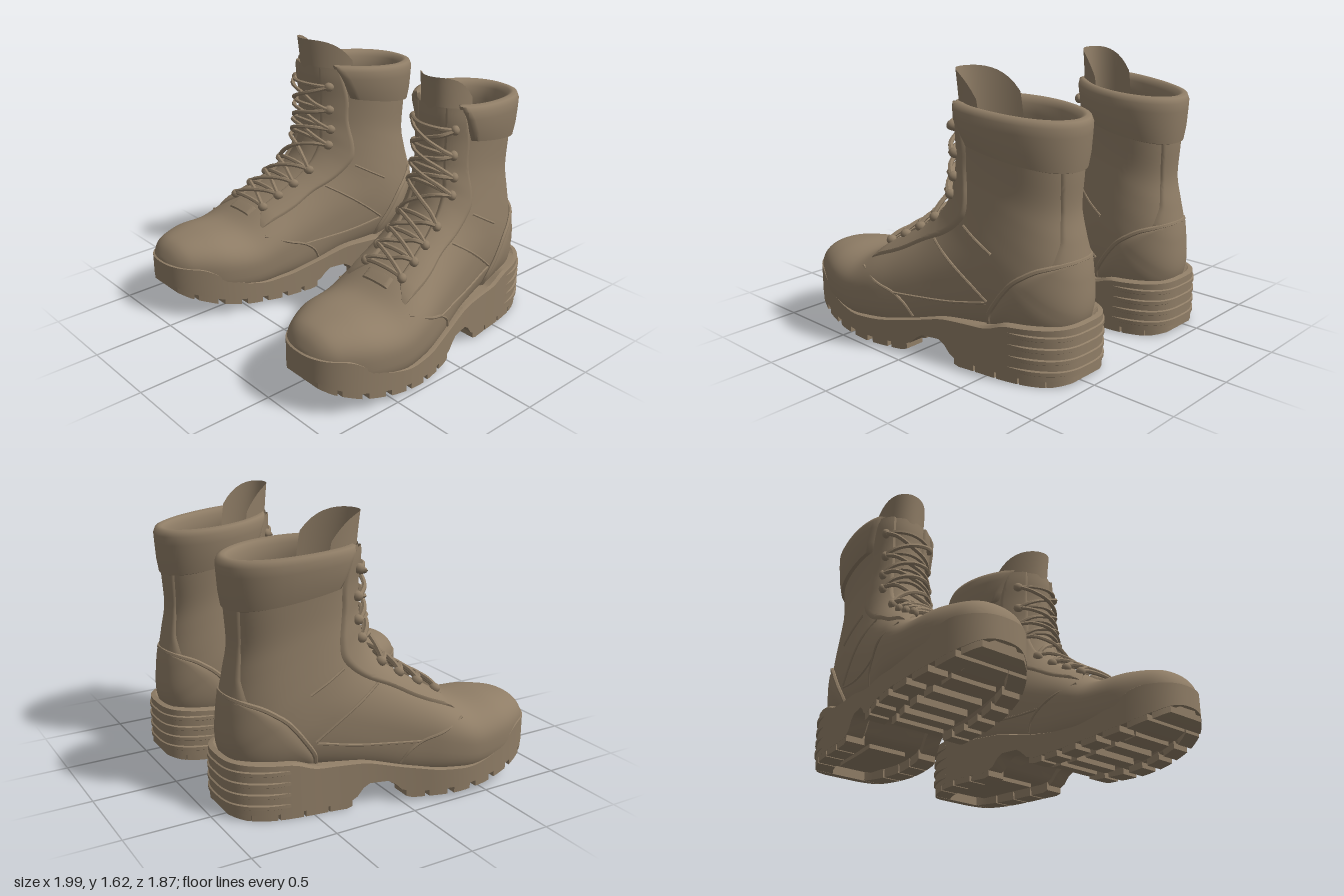
import * as THREE from 'three';
import { toCreasedNormals } from 'three/addons/utils/BufferGeometryUtils.js';

const V = (x, y, z) => new THREE.Vector3(x, y, z);
const clamp = THREE.MathUtils.clamp, lerp = THREE.MathUtils.lerp;

// Piecewise linear lookup
function look(tab, k) {
  if (k <= tab[0][0]) return tab[0][1];
  for (let i = 1; i < tab.length; i++) {
    const [a, p] = tab[i - 1], [b, q] = tab[i];
    if (k <= b) return lerp(p, q, (k - a) / (b - a));
  }
  return tab[tab.length - 1][1];
}
// Lookup averaged over a small window, for soft bends
const soft = (tab, k, r) => [-1, -0.5, 0, 0.5, 1].reduce((s, d) => s + look(tab, k + d * r), 0) / 5;

// Surface from a rule p(u, v), with u and v from 0 to 1
function grid(p, nu, nv) {
  const pos = [], idx = [];
  for (let j = 0; j <= nv; j++) for (let i = 0; i <= nu; i++) pos.push(...p(i / nu, j / nv).toArray());
  for (let j = 0; j < nv; j++) for (let i = 0; i < nu; i++) {
    const a = j * (nu + 1) + i, b = a + 1, c = a + nu + 1, d = c + 1;
    idx.push(a, b, d, a, d, c);
  }
  const g = new THREE.BufferGeometry();
  g.setAttribute('position', new THREE.Float32BufferAttribute(pos, 3));
  g.setIndex(idx);
  return g;
}

// Foot plan: centre line, extra inward turn of the right boot, half width, sole top and bottom along z
const CX = [[-0.93, 0.465], [-0.5, 0.485], [-0.2, 0.55], [0, 0.595], [0.3, 0.645], [0.6, 0.66], [0.93, 0.68]];
const TURN = [[-0.5, -0.042], [0, -0.036], [0.35, -0.005], [0.6, 0], [0.93, 0.01]];
const HALF = [[-0.65, 0.352], [-0.25, 0.303], [0, 0.31], [0.3, 0.36], [0.6, 0.37]];
const TOP = [[-0.95, 0.33], [-0.6, 0.315], [-0.5, 0.27], [-0.2, 0.26], [0, 0.21], [0.2, 0.175], [0.4, 0.165],
  [0.55, 0.2], [0.68, 0.27], [0.76, 0.33], [0.95, 0.35]];
const BOT = [[-0.95, 0.02], [-0.85, 0], [-0.3, 0], [-0.25, 0.03], [-0.2, 0.1], [-0.06, 0.1], [0, 0.04],
  [0.06, 0.02], [0.3, 0.025], [0.5, 0.045], [0.7, 0.085], [0.85, 0.14], [0.95, 0.2]];
const L = 0.93;
function soleHalf(z) {
  const n = z > 0 ? 2.5 : 3;
  return soft(HALF, z, 0.12) * Math.max(0, 1 - Math.abs(z / L) ** n) ** (1 / n);
}

// Upper sections: front z, front y, back z, back y, half width
const ROWS = [
  [0.922, 0.33, 0.922, 0.31, 0.01], [0.912, 0.37, 0.912, 0.24, 0.09], [0.87, 0.435, 0.87, 0.2, 0.165],
  [0.8, 0.472, 0.8, 0.16, 0.225], [0.65, 0.492, 0.65, 0.11, 0.302], [0.45, 0.495, 0.45, 0.09, 0.345],
  [0.3, 0.575, 0.25, 0.09, 0.342], [0.15, 0.665, 0.05, 0.1, 0.315], [0.03, 0.75, -0.2, 0.15, 0.292],
  [-0.05, 0.84, -0.5, 0.18, 0.283], [-0.09, 0.92, -0.78, 0.22, 0.28], [-0.115, 1.0, -0.885, 0.34, 0.272],
  [-0.12, 1.06, -0.885, 0.55, 0.256], [-0.13, 1.12, -0.85, 0.75, 0.242], [-0.13, 1.18, -0.82, 0.92, 0.235],
  [-0.13, 1.27, -0.83, 1.12, 0.24], [-0.12, 1.38, -0.835, 1.3, 0.25], [-0.12, 1.45, -0.84, 1.39, 0.25]];

function section(t) {
  const s = clamp(t + 1, 0, ROWS.length - 1), i = Math.min(Math.floor(s), ROWS.length - 2), f = s - i;
  const r = k => ROWS[clamp(k, 0, ROWS.length - 1)];
  return ROWS[0].map((_, c) => {
    const a = r(i - 1)[c], b = r(i)[c], d = r(i + 1)[c], e = r(i + 2)[c];
    return b + 0.5 * f * (d - a + f * (2 * a - 5 * b + 4 * d - e + f * (3 * (b - d) + e - a)));
  });
}
// Point on the upper; phi = 0 at the front, PI at the back
function skin(t, phi) {
  const [fz, fy, bz, by, w] = section(t), c = Math.cos(phi), s = Math.sin(phi);
  const n = c > 0 ? look([[0, 2.2], [3, 2.4], [8, 2]], t) : look([[6, 3.5], [10, 2.1]], t);
  const k = Math.sign(c) * Math.abs(c) ** (2 / n);
  return V(w * Math.sign(s) * Math.abs(s) ** (2 / n), (fy + by) / 2 + k * (fy - by) / 2, (fz + bz) / 2 + k * (fz - bz) / 2);
}
// Same point pushed outward
function surf(t, phi, off = 0) {
  const p = skin(t, phi), e = 0.03;
  const dt = skin(Math.min(t + e, 16), phi).sub(skin(t - e, phi));
  const dp = skin(t, phi + e).sub(skin(t, phi - e));
  return p.addScaledVector(dp.cross(dt).normalize(), off);
}
// Raised panel lying on the upper between two phi limits
const panel = (t0, t1, a, b, h, nu = 20, nv = 60, openTop = false) => grid((u, v) => {
  const t = lerp(t0, t1, v), e = Math.min(u * 10, (1 - u) * 10, v * 20, openTop ? 1 : (1 - v) * 20, 1);
  return surf(t, lerp(a(t), b(t), u), h * Math.sqrt(e) - 0.004);
}, nu, nv);

const tube = (pts, r, n = 24) => new THREE.TubeGeometry(new THREE.CatmullRomCurve3(pts), n, r, 6);

// Finds (t, phi) of the place on the upper seen at a side position
const samples = [];
for (let t = 0; t <= 16; t += 0.1) for (let p = 0.1; p < 3.1; p += 0.06) samples.push([t, p]);
function locate([z, y]) {
  const miss = ([t, p]) => { const q = skin(t, p); return (q.z - z) ** 2 + (q.y - y) ** 2; };
  const nearest = list => list.reduce((a, b) => (miss(b) < miss(a) ? b : a));
  let best = nearest(samples);
  for (let s = 0.05; s > 0.002; s *= 0.7) {
    const [t, p] = best;
    best = nearest([best, [t + s, p], [t - s, p], [t, p + s], [t, Math.max(0.05, p - s)]]);
  }
  return V(best[0], Math.min(best[1], 3.1), 0);
}

export function createModel() {
  const leather = new THREE.MeshStandardMaterial({ color: 0x8f7d66, side: THREE.DoubleSide });
  const model = new THREE.Group();
  const leftBoot = new THREE.Group(), rightBoot = new THREE.Group();
  leftBoot.name = 'leftBoot'; rightBoot.name = 'rightBoot';
  model.add(leftBoot, rightBoot);

  // Bends a part along each boot's foot line, mirrors it for the right boot, and adds it to both
  function add(name, geo, crease = 0.7) {
    for (const boot of [leftBoot, rightBoot]) {
      const g = geo.clone(), p = g.attributes.position, mirrored = boot === rightBoot;
      for (let i = 0; i < p.count; i++) {
        const z = p.getZ(i), x = p.getX(i) + soft(CX, z, 0.12);
        p.setX(i, mirrored ? -x - soft(TURN, z, 0.12) : x);
      }
      if (mirrored) g.index.array.reverse();
      const mesh = new THREE.Mesh(toCreasedNormals(g, crease), leather);
      mesh.name = name;
      boot.add(mesh);
    }
  }

  // Upper
  add('upper', grid((u, v) => skin(lerp(-1, 16, v), u * Math.PI * 2), 64, 85), 1);

  // Sole with a flat wall and recessed underside
  const wall = [[0, 0, 0.055], [0.62, 0, 0.055], [0.66, 0, 0.035], [1, 0, 0.035], [1, 1, 0], [0.94, 1, 0.008], [0, 1, -0.03]];
  add('sole', grid((u, v) => {
    const [k, top, dy] = wall[Math.round(v * 6)], z = L * Math.cos(u * Math.PI * 2);
    const x = soleHalf(z) * (u < 0.5 ? 1 : -1);
    return V(x * k, (top ? soft(TOP, z, 0.04) : look(BOT, z)) + dy, z * (k === 0.94 ? 0.97 : 1));
  }, 160, 6), 0.6);

  // Tread lugs shaped to the outline
  function lug(z0, len, xRule, drop = 0) {
    const g = new THREE.BoxGeometry(1, 1, 1, 6, 1, 4), p = g.attributes.position;
    for (let i = 0; i < p.count; i++) {
      const z = z0 + len * p.getZ(i);
      p.setXYZ(i, xRule(p.getX(i), z), look(BOT, z) + (p.getY(i) > 0 ? 0.07 : drop), z);
    }
    add('treadLug', g, 0.5);
  }
  for (const z0 of [0.76, 0.62, 0.48, 0.34, 0.2, 0.075, -0.345, -0.485, -0.625, -0.765]) {
    const len = z0 > 0 ? 0.1 : 0.128;
    for (const s of [1, -1]) lug(z0, len, (x, z) => s * (soleHalf(z) - 0.001 - 0.12 * (0.5 - x)));
    if (z0 > 0) lug(z0, 0.075, (x, z) => x * soleHalf(z) * 0.95, 0.012);
  }
  lug(0.865, 0.07, (x, z) => 1.96 * x * soleHalf(z));
  lug(-0.875, 0.085, (x, z) => 1.96 * x * soleHalf(z));
  lug(-0.55, 0.4, (x, z) => x * soleHalf(z) * 0.8, 0.03);

  // Heel ridges, sinking into the wall at both ends
  for (const y of [0.08, 0.145, 0.21, 0.275]) {
    const pts = [];
    for (let i = 0; i <= 32; i++) {
      const a = lerp(-0.92, 0.92, i / 32), z = -L * Math.cos(a), sink = 0.99 - 0.09 * Math.abs(a / 0.92) ** 6;
      pts.push(V(Math.sign(a) * soleHalf(z) * sink, y, z * 0.99));
    }
    add('heelRidge', tube(pts, 0.02, 56));
  }

  // Heel counter with a corded rim
  const arc = new THREE.CatmullRomCurve3([[-0.45, 0.26], [-0.475, 0.34], [-0.55, 0.45], [-0.65, 0.565],
    [-0.76, 0.63], [-0.84, 0.655], [-0.884, 0.67]].map(locate));
  add('heelCounter', grid((u, v) => {
    const q = arc.getPoint(v), e = Math.min(1, u * 20, (1 - u) * 20);
    return surf(q.x, lerp(q.y, Math.PI * 2 - q.y, u), 0.018 * Math.sqrt(e) - 0.002);
  }, 40, 48), 1);
  const rim = [];
  for (let i = 0; i <= 40; i++) {
    const q = arc.getPoint(1 - Math.abs(i - 20) / 20);
    if (i !== 20) rim.push(surf(q.x, i < 20 ? q.y : -q.y, 0.006));
  }
  add('heelCounterRim', tube(rim, 0.014, 80));

  // Back strip
  const strip = t => Math.PI - look([[11.2, 0.7], [12, 0.45], [13, 0.35], [14.4, 0.42]], t);
  add('backStrip', panel(11.2, 14.4, strip, t => Math.PI * 2 - strip(t), 0.014, 20, 30));

  // Lace facings, pointed at the toe end
  const inner = t => look([[4.6, 0.64], [5.2, 0.3], [8, 0.38], [16, 0.42]], t);
  const outer = t => soft([[4.6, 0.7], [6, 0.85], [7, 0.83], [8, 0.93], [9, 0.95], [10, 1.03], [11, 1.06],
    [12, 1.0], [14, 1.0], [16, 0.82]], t, 0.4);
  for (const s of [1, -1]) add('laceFacing', panel(4.6, 16, t => s * inner(t), t => s * outer(t), 0.02, 20, 80, true));
  add('throatTab', panel(4.6, 5.05, () => -0.25, () => 0.25, 0.018, 20, 10));

  // Padded collar, its front ends slanting back and tapering out
  const roll = [[14.05, -0.004], [14.1, 0.022], [14.5, 0.032], [15.2, 0.036], [15.75, 0.036], [16, 0.024], [16, 0],
    [16, -0.022], [15.7, -0.04], [15, -0.042], [14.3, -0.03], [14.05, -0.004]];
  add('collar', grid((u, v) => {
    const k = Math.round(v * 11), [t, off] = roll[k], e = Math.sqrt(Math.min(1, u * 40, (1 - u) * 40));
    const start = lerp(1.02, 0.7, (t - 14.05) / 1.95);
    const p = surf(t, lerp(start, Math.PI * 2 - start, u), off * e);
    p.y += k === 6 ? 0.024 : k === 5 || k === 7 ? 0.015 : 0;
    return p;
  }, 80, 11), 1);

  // Tongue
  add('tongue', grid((u, v) => {
    const a = (u * 2 - 1) * 1.4, edge = Math.abs(u * 2 - 1) ** 4;
    return V(0.174 * Math.sin(a), lerp(1.15, 1.62 - 0.14 * edge, v), -0.13 + 0.03 * v * v - 0.28 * (1 - Math.cos(a)));
  }, 24, 12), 1);

  // Stitched seams on both flanks
  const seams = [
    [[0.0, 0.23], [0.04, 0.3], [0.11, 0.355], [0.22, 0.4], [0.36, 0.455]],
    [[0.1, 0.355], [-0.05, 0.355], [-0.25, 0.365], [-0.46, 0.4]],
    [[-0.1, 0.69], [-0.22, 0.61], [-0.35, 0.51], [-0.47, 0.41]],
    [[-0.3, 0.8], [-0.4, 0.74], [-0.5, 0.68]]];
  for (const line of seams) for (const s of [1, -1])
    add('seam', tube(line.map(q => { const f = locate(q); return surf(f.x, s * f.y, 0.002); }), 0.008));

  // Eyelets and crossed laces
  const eyes = [5.2, 5.9, 6.7, 7.7, 9.9, 11.4, 13.2, 14.6];
  const eyePhi = t => look([[5, 0.38], [9, 0.55], [11, 0.63]], t);
  eyes.forEach((t, i) => {
    const e = eyePhi(t);
    for (const s of [1, -1]) {
      const p = surf(t, s * e, 0.022);
      add('eyelet', new THREE.SphereGeometry(0.029, 12, 8).translate(p.x, p.y, p.z));
      if (i < eyes.length - 1) {
        const n = eyes[i + 1], at = (f, k, off) => surf(lerp(t, n, f), s * k * lerp(e, eyePhi(n), f), off);
        add('lace', tube([at(0, 1, 0.035), at(0.2, 0.58, 0.042), at(0.5, 0, s > 0 ? 0.042 : 0.022),
          at(0.8, -0.58, 0.042), at(1, -1, 0.035)], 0.013));
      }
    }
    add('lace', tube([-1, -0.5, 0, 0.5, 1].map(k => surf(t, k * e, 0.028)), 0.013));
  });

  return model;
}
